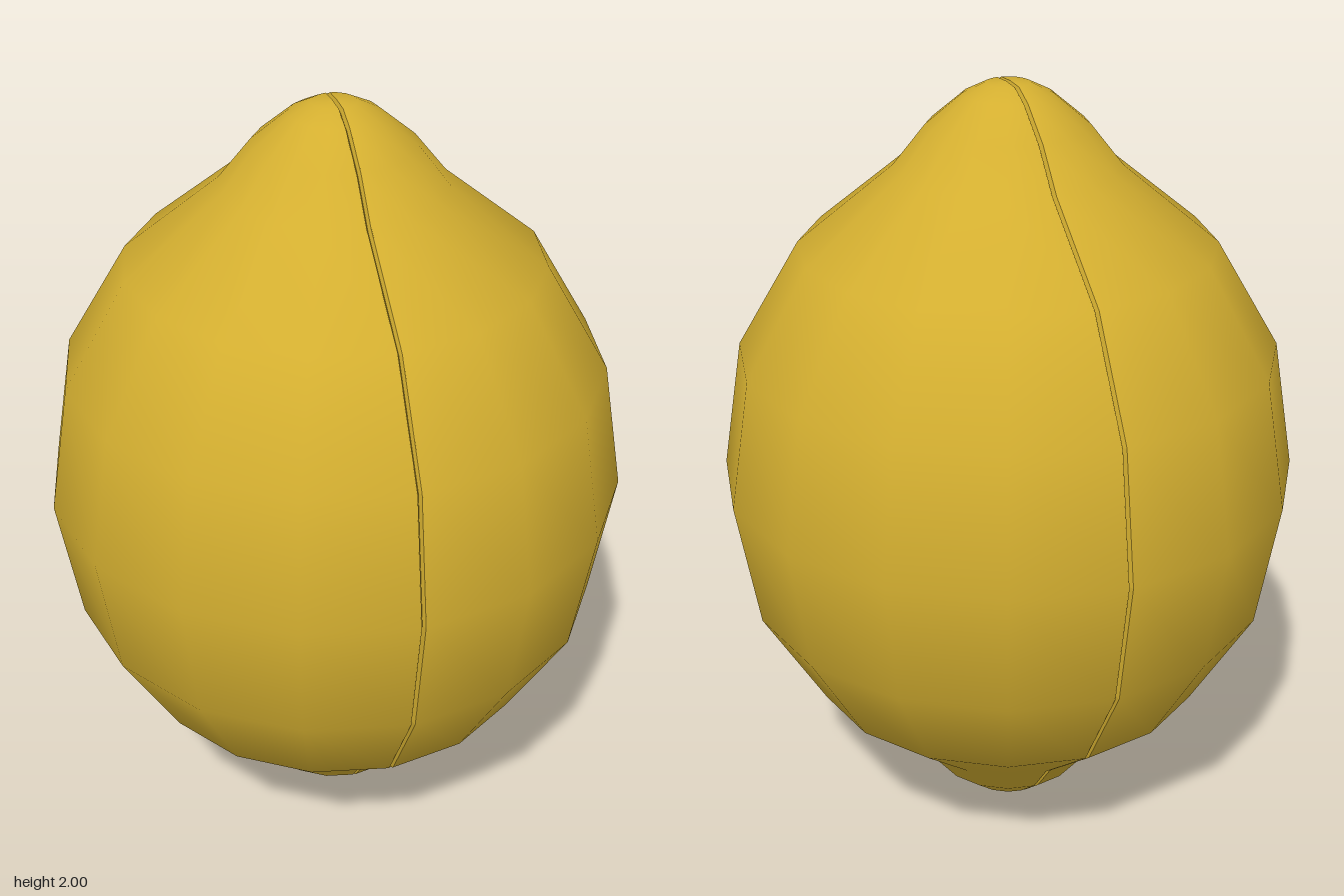
import * as THREE from 'three';

// Half outline of the fruit, bottom to top: [radius, height]
const lower = [[0, 0], [0.055, 0.003], [0.11, 0.03], [0.2, 0.105], [0.28, 0.205], [0.52, 0.4], [0.68, 0.67], [0.735, 1]];
const upper = lower.slice(0, -1).reverse().map(([r, y]) => [r, 2 - y]);
const profile = [...lower, ...upper].map(([r, y]) => new THREE.Vector2(r, y));

const SEAM = 0.005; // distance of each rind edge from the seam plane
const BEVEL = 0.012; // depth of the seam groove

export function createModel() {
  const group = new THREE.Group();
  group.name = 'lemon';
  const rindMaterial = new THREE.MeshStandardMaterial({ color: 0xd4af30 });

  // Rind: half a turn of the outline, its cut edge pulled back from the seam
  const rindGeometry = new THREE.LatheGeometry(profile, 8, 0, Math.PI);
  const pos = rindGeometry.attributes.position;
  for (let i = 0; i < pos.count; i++) pos.setX(i, Math.max(pos.getX(i), SEAM));

  // Cut face: a thin plate of the full outline with a bevelled rim
  const mirrored = profile.slice(1, -1).reverse().map((p) => new THREE.Vector2(-p.x, p.y));
  const faceGeometry = new THREE.ExtrudeGeometry(new THREE.Shape([...profile, ...mirrored]), {
    depth: 0.001, bevelThickness: SEAM, bevelSize: BEVEL, bevelOffset: -BEVEL, bevelSegments: 1,
  });
  faceGeometry.translate(0, 0, SEAM);
  faceGeometry.rotateY(Math.PI / 2);

  // Two matching halves meeting at x = 0
  ['leftHalf', 'rightHalf'].forEach((name, i) => {
    const half = new THREE.Group();
    half.name = name;
    const rind = new THREE.Mesh(rindGeometry, rindMaterial);
    rind.name = 'rind';
    const cutFace = new THREE.Mesh(faceGeometry, rindMaterial);
    cutFace.name = 'cutFace';
    half.add(rind, cutFace);
    half.rotation.y = i * Math.PI;
    group.add(half);
  });
  return group;
}
